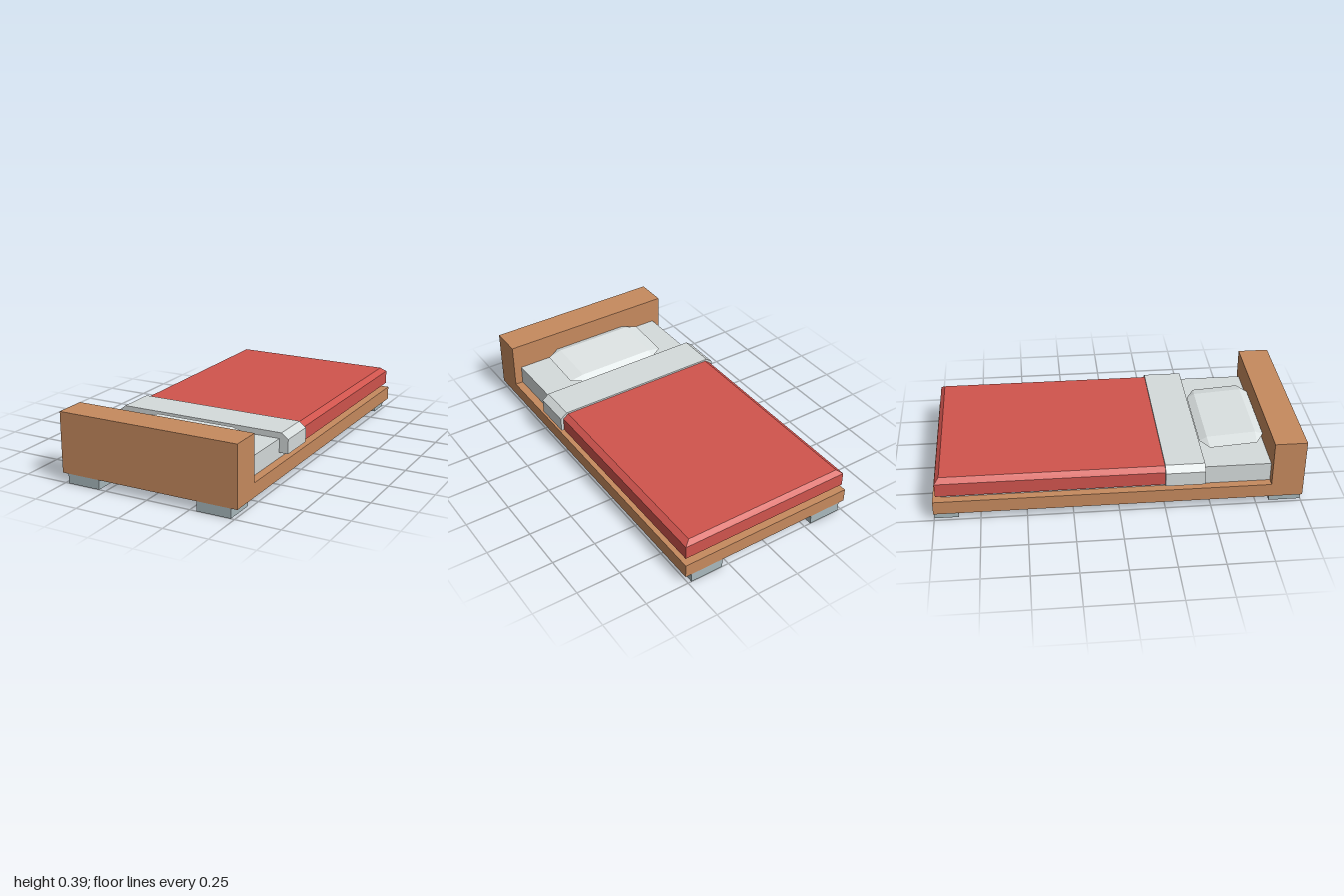
import * as THREE from 'three';
import { ConvexGeometry } from 'three/addons/geometries/ConvexGeometry.js';

const paint = (color) => new THREE.MeshStandardMaterial({ color, flatShading: true });

export function createModel() {
  const bed = new THREE.Group();
  bed.name = 'bed';
  const wood = paint(0xc68a5e);
  const linen = paint(0xd5dbdb);
  const pillowCase = paint(0xdde3e3);
  const red = paint(0xd0544d);
  const footGrey = paint(0xa8b8bc);

  const add = (name, geometry, material) => {
    const mesh = new THREE.Mesh(geometry, material);
    mesh.name = name;
    bed.add(mesh);
    return mesh;
  };
  // Box given by its limits on each axis
  const box = (name, material, [x0, x1], [y0, y1], [z0, z1]) =>
    add(name, new THREE.BoxGeometry(x1 - x0, y1 - y0, z1 - z0), material)
      .position.set((x0 + x1) / 2, (y0 + y1) / 2, (z0 + z1) / 2);
  // Faceted solid from horizontal rings of [x, z] corners; y may depend on z
  const solid = (name, material, rings) => {
    const points = rings.flatMap(({ y, corners }) =>
      corners.map(([x, z]) => new THREE.Vector3(x, typeof y === 'function' ? y(z) : y, z)));
    return add(name, new ConvexGeometry(points), material);
  };
  const rect = (x, z0, z1) => [[-x, z0], [x, z0], [x, z1], [-x, z1]];

  // Wooden base and headboard
  box('bedFrame', wood, [-0.516, 0.516], [0.053, 0.13], [-1, 0.825]);
  box('headboard', wood, [-0.516, 0.516], [0.053, 0.388], [0.825, 1]);

  // Feet
  for (const side of [-1, 1]) {
    const x = side < 0 ? [-0.48, -0.29] : [0.29, 0.48];
    box('headFoot', footGrey, x, [0, 0.053], [0.825, 1]);
    box('tailFoot', footGrey, x, [0, 0.053], [-1, -0.868]);
  }

  box('mattress', linen, [-0.47, 0.47], [0.13, 0.237], [-0.955, 0.825]);

  // Blanket, bevelled along the sides and the tail end
  solid('blanket', red, [
    { y: 0.16, corners: rect(0.505, -0.982, 0.25) },
    { y: 0.237, corners: rect(0.505, -0.982, 0.25) },
    { y: 0.26, corners: rect(0.473, -0.958, 0.25) },
  ]);

  // Folded-back sheet, bevelled along the sides only
  solid('foldedSheet', linen, [
    { y: 0.16, corners: rect(0.521, 0.245, 0.46) },
    { y: 0.24, corners: rect(0.521, 0.245, 0.46) },
    { y: 0.27, corners: rect(0.482, 0.245, 0.46) },
  ]);

  // Tilted pillow: octagonal rim with a smaller panel above and below
  const rim = [
    [-0.23, -0.178], [0.23, -0.178], [0.31, -0.13], [0.31, 0.13],
    [0.23, 0.178], [-0.23, 0.178], [-0.31, 0.13], [-0.31, -0.13],
  ];
  const pillow = solid('pillow', pillowCase, [
    { y: -0.018, corners: rect(0.23, -0.135, 0.135) },
    { y: 0, corners: rim },
    { y: 0.02, corners: rect(0.23, -0.135, 0.135) },
  ]);
  pillow.position.set(-0.007, 0.265, 0.645);
  pillow.rotation.x = -0.07;

  return bed;
}
